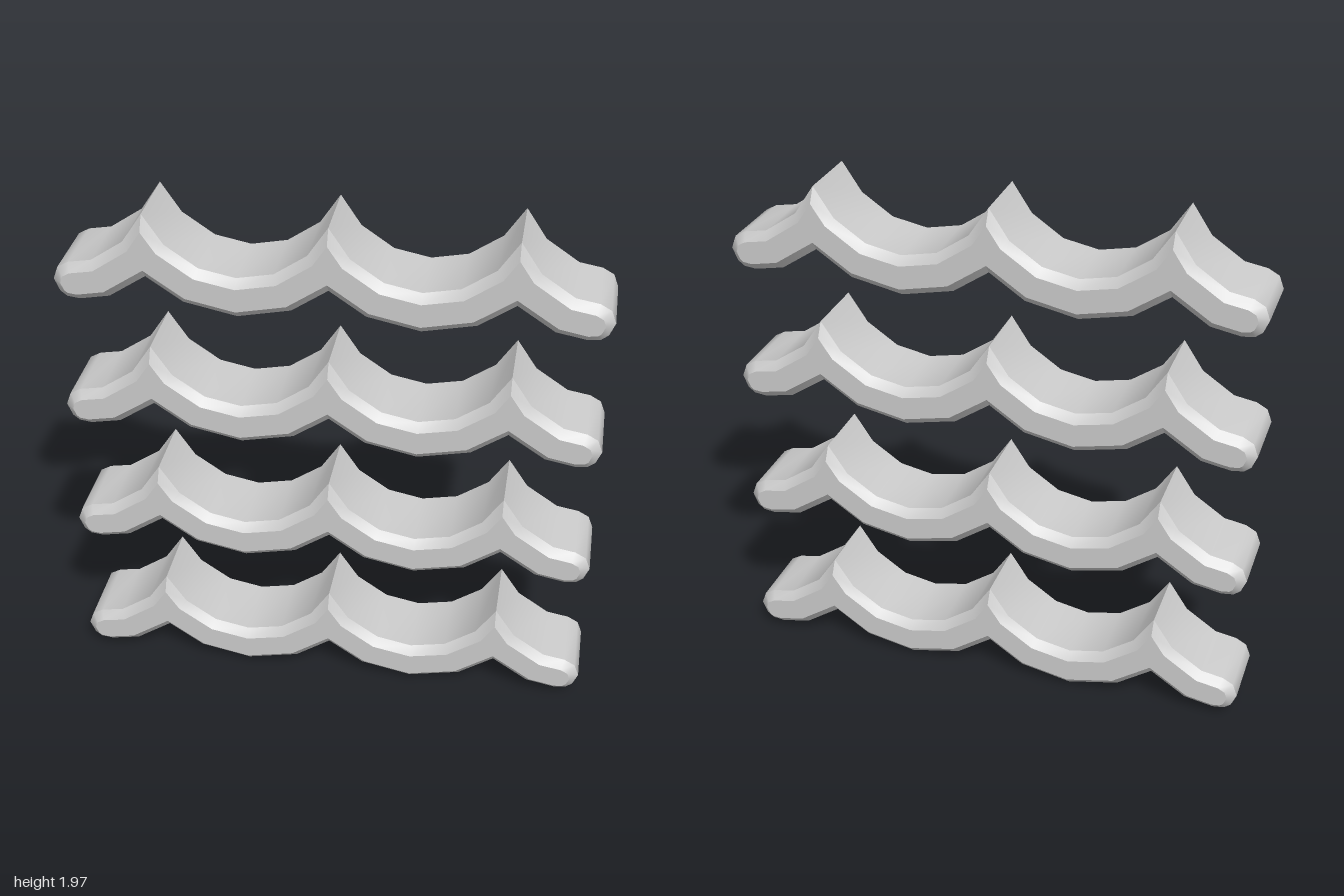
import * as THREE from 'three';
import { toCreasedNormals } from 'three/addons/utils/BufferGeometryUtils.js';

const PITCH = 0.66;     // distance between crests
const SPACING = 0.533;  // distance between rails
const BEVEL = 0.031;
const HALF_DEPTH = 0.165;

// Closed counter-clockwise outline of one scalloped rail
function railOutline() {
  // right half of the underside, from the middle notch to the end tip
  const under = [
    [0.134, 0.047], [PITCH / 2, 0.006], [PITCH - 0.134, 0.047], [PITCH, 0.138],
    [0.797, 0.047], [0.909, 0.026], [0.955, 0.032], [0.98, 0.052], [1, 0.1],
  ];
  // right half of the top, from the end tip back to the middle crest
  const over = [
    [0.982, 0.148], [0.941, 0.171], [0.856, 0.186], [0.735, 0.268], [PITCH, 0.381],
    [PITCH - 0.075, 0.268], [PITCH - 0.195, 0.186], [PITCH / 2, 0.159],
    [0.195, 0.186], [0.075, 0.268],
  ];
  const half = [...under, ...over];
  const mirrored = half.map(([x, y]) => [-x, y]).reverse();
  return [[0, 0.138], ...half, [0, 0.381], ...mirrored]
    .map(([x, y]) => new THREE.Vector2(x, y));
}

// Mitred inset of a closed outline
function inset(points, d) {
  const n = points.length;
  const inward = (a, b) => new THREE.Vector2(a.y - b.y, b.x - a.x).normalize();
  return points.map((p, i) => {
    const n1 = inward(points[(i + n - 1) % n], p);
    const n2 = inward(p, points[(i + 1) % n]);
    const miter = n1.clone().add(n2).multiplyScalar(d / (1 + n1.dot(n2)));
    return miter.add(p);
  });
}

// Bevelled bar lofted through four copies of the outline
function railGeometry() {
  const outer = railOutline();
  const inner = inset(outer, BEVEL);
  const n = outer.length;
  const rings = [
    [inner, -HALF_DEPTH], [outer, -HALF_DEPTH + BEVEL],
    [outer, HALF_DEPTH - BEVEL], [inner, HALF_DEPTH],
  ];
  const positions = [];
  const index = [];
  for (const [pts, z] of rings) for (const p of pts) positions.push(p.x, p.y, z);
  for (let r = 0; r < 3; r++) {
    for (let i = 0; i < n; i++) {
      const a = r * n + i, b = r * n + (i + 1) % n;
      index.push(a, b, b + n, a, b + n, a + n);
    }
  }
  // flat front and back faces
  for (const [a, b, c] of THREE.ShapeUtils.triangulateShape(inner, [])) {
    index.push(3 * n + a, 3 * n + b, 3 * n + c, a, c, b);
  }
  const geometry = new THREE.BufferGeometry();
  geometry.setAttribute('position', new THREE.Float32BufferAttribute(positions, 3));
  geometry.setIndex(index);
  return toCreasedNormals(geometry, 0.76);
}

export function createModel() {
  const group = new THREE.Group();
  group.name = 'scallopedRails';
  const geometry = railGeometry();
  const material = new THREE.MeshStandardMaterial({ color: 0xcccccc });
  for (let i = 0; i < 4; i++) {
    const rail = new THREE.Mesh(geometry, material);
    rail.name = `rail${i + 1}`;
    rail.position.y = i * SPACING;
    group.add(rail);
  }
  return group;
}
